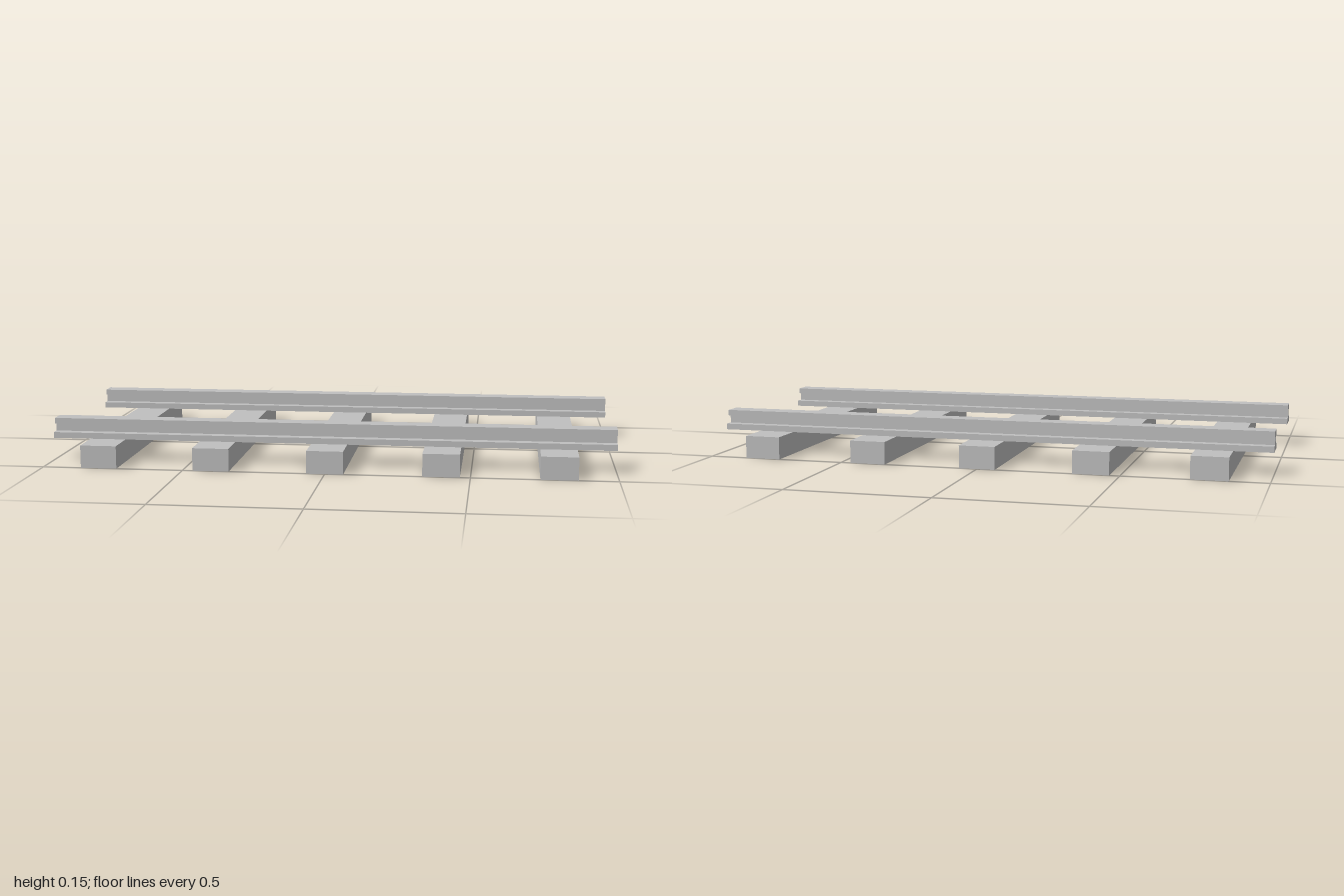
import * as THREE from 'three';

export function createModel() {
  const track = new THREE.Group();
  track.name = 'railwayTrack';
  const grey = new THREE.MeshStandardMaterial({ color: 0xc0c0c0 });
  grey.name = 'light grey';

  // Sleepers: five beams laid across the track
  const sleeperGeometry = new THREE.BoxGeometry(0.128, 0.08, 1);
  for (let i = -2; i <= 2; i++) {
    const sleeper = new THREE.Mesh(sleeperGeometry, grey);
    sleeper.name = 'sleeper' + (i + 3);
    sleeper.position.set(i * 0.4, 0.04, 0);
    track.add(sleeper);
  }

  // Rail section: wide foot, narrow web, medium head, mirrored about its centre
  const half = [[0.049, 0], [0.049, 0.021], [0.016, 0.021], [0.016, 0.05], [0.032, 0.05], [0.032, 0.07]];
  const mirrored = half.map(([x, y]) => [-x, y]).reverse();
  const section = new THREE.Shape([...half, ...mirrored].map(([x, y]) => new THREE.Vector2(x, y)));
  const railGeometry = new THREE.ExtrudeGeometry(section, { depth: 2, bevelEnabled: false });
  railGeometry.translate(0, 0, -1).rotateY(Math.PI / 2);

  // Rails: front and back
  for (const side of [1, -1]) {
    const rail = new THREE.Mesh(railGeometry, grey);
    rail.name = side > 0 ? 'frontRail' : 'backRail';
    rail.position.set(0, 0.08, side * 0.326);
    track.add(rail);
  }
  return track;
}
